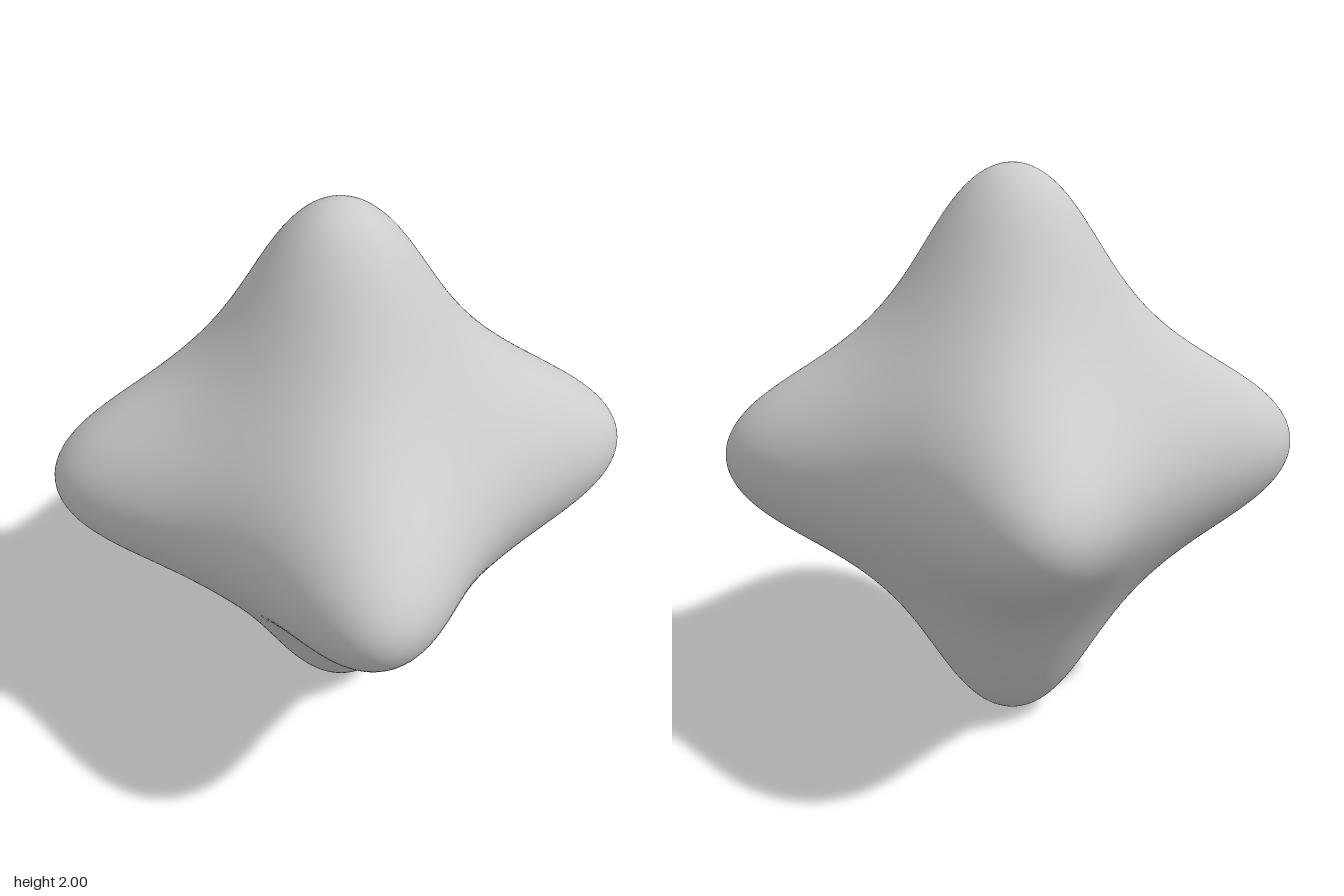
import * as THREE from 'three';
import { mergeVertices } from 'three/addons/utils/BufferGeometryUtils.js';

const PINCH = 18; // how strongly the surface is drawn in between the six arms

// Implicit surface: x^6 + y^6 + z^6 + PINCH (x²y² + y²z² + z²x²) = 1
// Distance from the centre to the surface along unit direction d.
function radiusAlong(d) {
  const [a, b, c] = [d.x * d.x, d.y * d.y, d.z * d.z];
  const sixth = a ** 3 + b ** 3 + c ** 3;
  const cross = PINCH * (a * b + b * c + c * a);
  let lo = 0, hi = 1.2;
  for (let i = 0; i < 40; i++) {
    const r = (lo + hi) / 2;
    if (sixth * r ** 6 + cross * r ** 4 < 1) lo = r;
    else hi = r;
  }
  return lo;
}

export function createModel() {
  const group = new THREE.Group();
  group.name = 'sixArmedStar';

  // Finely divided octahedron, so a vertex falls on every arm tip
  let geometry = new THREE.OctahedronGeometry(1, 60);
  geometry.deleteAttribute('normal');
  geometry.deleteAttribute('uv');
  geometry = mergeVertices(geometry, 1e-5);

  // Push each vertex along its direction onto the surface
  const position = geometry.attributes.position;
  const d = new THREE.Vector3();
  for (let i = 0; i < position.count; i++) {
    d.fromBufferAttribute(position, i).normalize();
    d.multiplyScalar(radiusAlong(d));
    position.setXYZ(i, d.x, d.y, d.z);
  }
  geometry.computeVertexNormals();

  const body = new THREE.Mesh(geometry, new THREE.MeshStandardMaterial({ color: 0xcccccc }));
  body.name = 'starBody';
  body.position.y = 1; // lowest tip rests on the ground
  group.add(body);
  return group;
}
